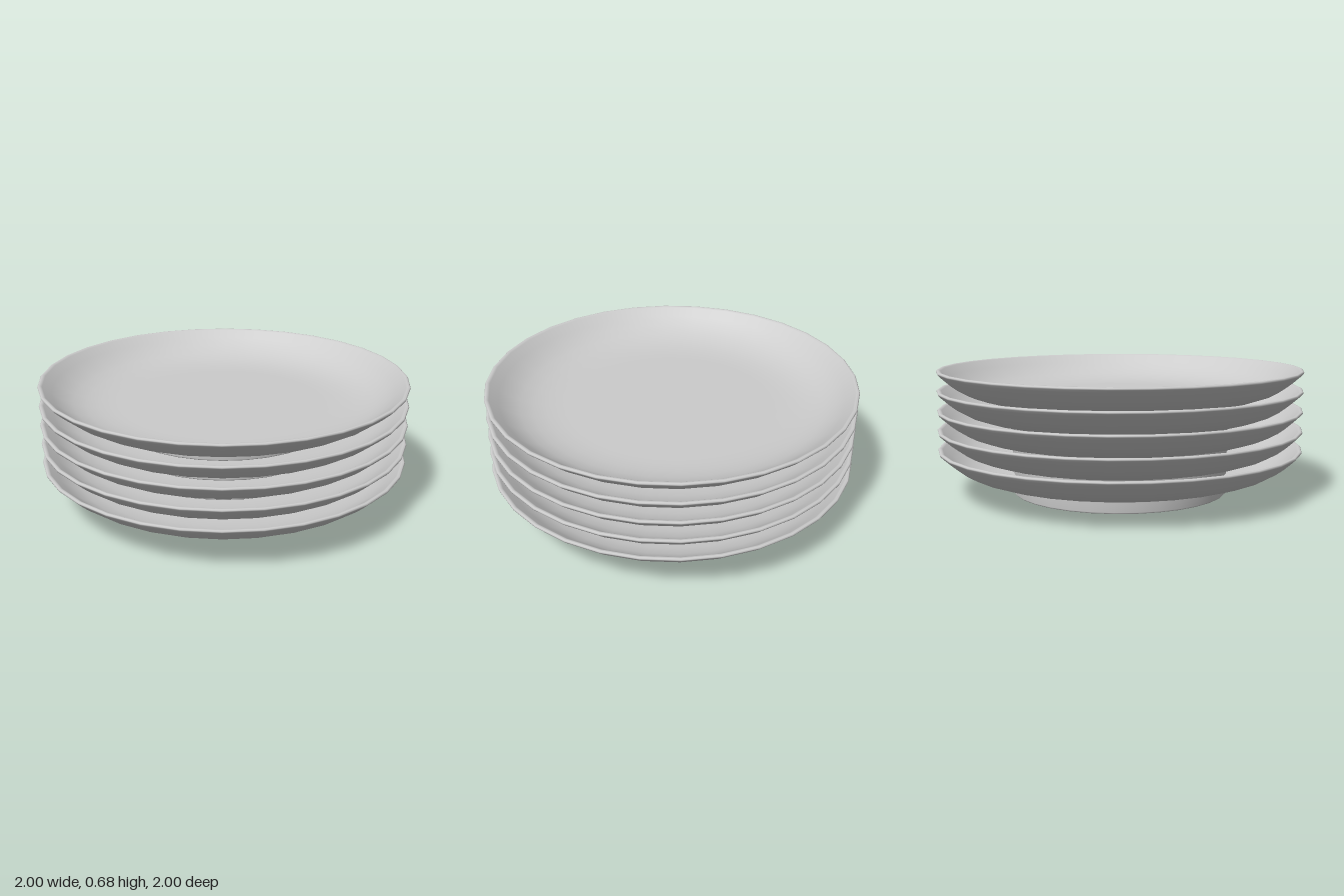
import * as THREE from 'three';

const PLATES = 5;
const STEP = 0.107;

// Closed cross-section: underside, foot, outer wall, rim, inner bowl, floor
const PROFILE = [
  [0, 0], [0.575, 0], [0.59, 0.002], [0.597, 0.01],
  [0.597, 0.06], [0.601, 0.076], [0.618, 0.085],
  [0.7, 0.094], [0.78, 0.108], [0.85, 0.132], [0.9, 0.16], [0.94, 0.19], [0.985, 0.23],
  [0.998, 0.243], [1, 0.25], [0.995, 0.255], [0.985, 0.256], [0.975, 0.25],
  [0.93, 0.212], [0.88, 0.174], [0.82, 0.143], [0.75, 0.122], [0.68, 0.112], [0.61, 0.107],
  [0.55, 0.107], [0, 0.107],
].map(([r, y]) => new THREE.Vector2(r, y));

export function createModel() {
  const group = new THREE.Group();
  group.name = 'plateStack';
  const material = new THREE.MeshStandardMaterial({ color: 0xcccccc });
  const geometry = new THREE.LatheGeometry(PROFILE, 32, -0.02);

  // Identical plates, each foot resting on the floor of the plate below
  for (let i = 0; i < PLATES; i++) {
    const plate = new THREE.Mesh(geometry, material);
    plate.name = `plate${i + 1}`;
    plate.position.y = i * STEP;
    group.add(plate);
  }
  return group;
}
